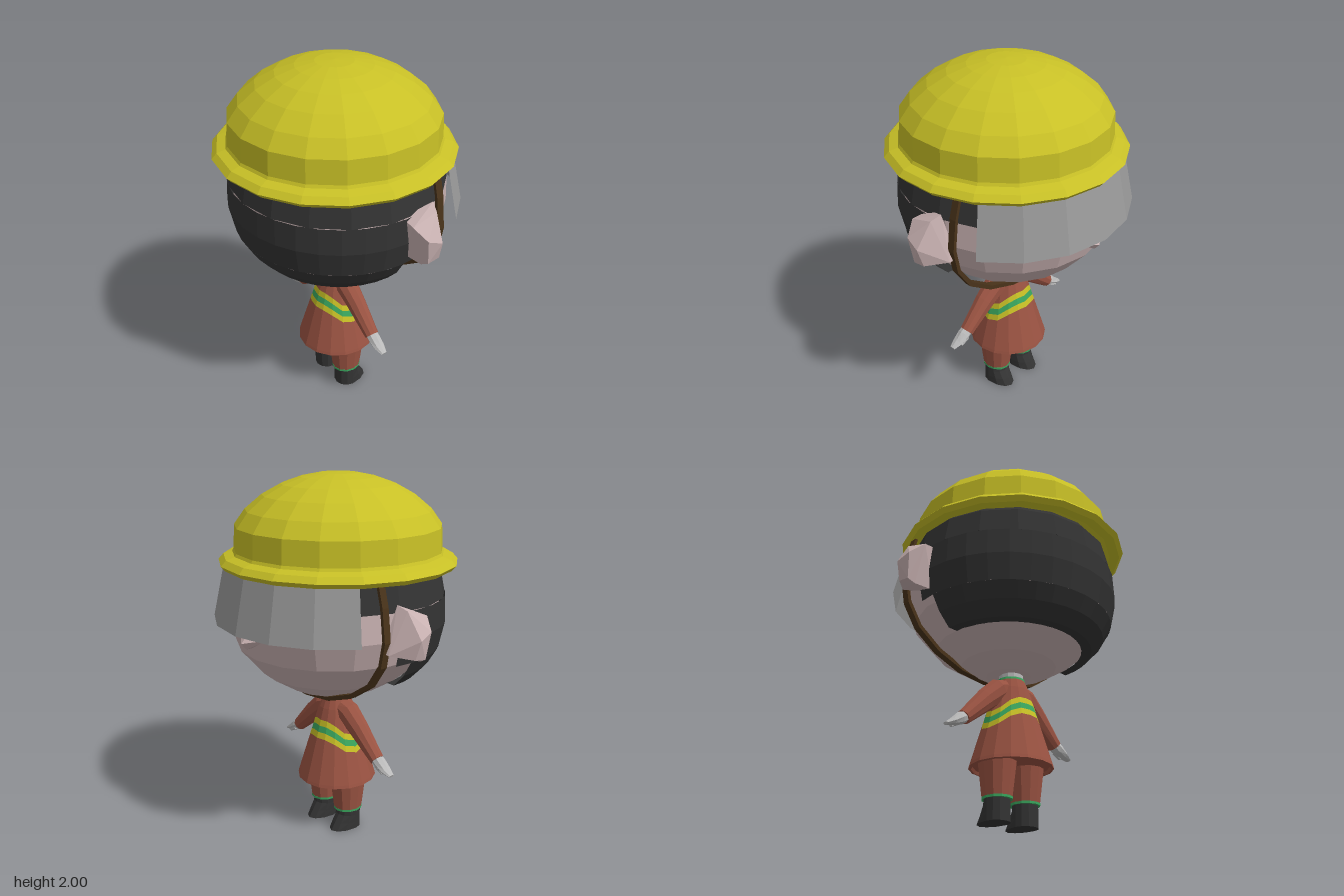
import * as THREE from 'three';
import { ConvexGeometry } from 'three/addons/geometries/ConvexGeometry.js';

const mat = (color) => new THREE.MeshStandardMaterial({ color, flatShading: true, side: THREE.DoubleSide });

// Lathe from [radius, height] pairs, listed bottom to top
function lathe(points, sides, start = 0, length = Math.PI * 2) {
  return new THREE.LatheGeometry(points.map(([r, y]) => new THREE.Vector2(r, y)), sides, start, length);
}

// Rounded limb along sections [x, y, radius across, radius in z], path lying in the xy plane
function limb(sections, sides = 10) {
  const pos = [], index = [];
  sections.forEach(([x, y, ru, rz], i) => {
    const a = sections[Math.max(i - 1, 0)], b = sections[Math.min(i + 1, sections.length - 1)];
    const len = Math.hypot(b[0] - a[0], b[1] - a[1]);
    const ux = -(b[1] - a[1]) / len, uy = (b[0] - a[0]) / len;
    for (let k = 0; k < sides; k++) {
      const t = (k / sides) * Math.PI * 2, c = Math.cos(t) * ru;
      pos.push(x + ux * c, y + uy * c, Math.sin(t) * rz);
    }
  });
  for (let i = 0; i < sections.length - 1; i++)
    for (let k = 0; k < sides; k++) {
      const a = i * sides + k, b = i * sides + (k + 1) % sides;
      index.push(a, b, a + sides, b, b + sides, a + sides);
    }
  const last = (sections.length - 1) * sides;
  for (let k = 1; k < sides - 1; k++) index.push(0, k + 1, k, last, last + k, last + k + 1);
  const g = new THREE.BufferGeometry();
  g.setAttribute('position', new THREE.Float32BufferAttribute(pos, 3));
  g.setIndex(index);
  g.computeVertexNormals();
  return g;
}

// Reflective bands sag towards the arms, following the cone of the coat
function sag(g) {
  const p = g.attributes.position;
  for (let i = 0; i < p.count; i++) {
    const x = p.getX(i), y = p.getY(i), z = p.getZ(i), r = Math.hypot(x, z);
    if (y < 0.54 || y > 0.66 || r === 0) continue;
    const drop = 0.075 * Math.max(0, Math.abs(x) / r - 0.6) / 0.4;
    const s = 1 + 0.3 * drop / r;
    p.setXYZ(i, x * s, y - drop, z * s);
  }
  g.computeVertexNormals();
  return g;
}

export function createModel() {
  const root = new THREE.Group();
  const yellow = mat(0xc8c026), red = mat(0x9a5342), green = mat(0x3aa65e), skin = mat(0xc9b2b2);
  const black = mat(0x333333), grey = mat(0x999999), brown = mat(0x49331a), white = mat(0xbababa);
  const add = (name, geometry, material, x = 0, y = 0, z = 0) => {
    const m = new THREE.Mesh(geometry, material);
    m.name = name;
    m.position.set(x, y, z);
    root.add(m);
    return m;
  };

  // Helmet: dome, rolled brim and underside
  add('helmet', lathe([[0.5, 1.56], [0.56, 1.525], [0.615, 1.52], [0.637, 1.545], [0.61, 1.575], [0.563, 1.59],
    [0.555, 1.605], [0.548, 1.73], [0.49, 1.81], [0.4, 1.885], [0.3, 1.94], [0.2, 1.975], [0.1, 1.995], [0, 2]], 18),
  yellow, 0, 0, 0.01);

  // Head, with the face towards -z
  add('head', lathe([[0, 0.797], [0.12, 0.81], [0.26, 0.862], [0.4, 0.95], [0.52, 1.09], [0.57, 1.23],
    [0.565, 1.38], [0.52, 1.52], [0.4, 1.62], [0, 1.68]], 18), skin, 0, 0, -0.02);

  // Hair: nape, sides and full crown with fringe
  const deg = Math.PI / 180;
  const hair = [
    ['hairNape', [[0.38, 0.95], [0.435, 0.95], [0.5, 1.02], [0.546, 1.1]], 90],
    ['hairSides', [[0.546, 1.1], [0.576, 1.24], [0.57, 1.38]], 100],
    ['hairCrown', [[0.54, 1.375], [0.57, 1.38], [0.542, 1.52], [0.48, 1.6]], 180],
  ];
  for (const [name, profile, half] of hair)
    add(name, lathe(profile, 18, -half * deg, 2 * half * deg), black).scale.x = 1.035;

  // Nose
  const v = (x, y, z) => new THREE.Vector3(x, y, z);
  add('nose', new ConvexGeometry([v(-0.12, 1.225, -0.55), v(0.12, 1.225, -0.55), v(0, 1.235, -0.59),
    v(0, 1.195, -0.628), v(0, 1.16, -0.6), v(0, 1.16, -0.54)]), skin);

  // Visor: flared open shell in front of the forehead
  add('visor', new THREE.CylinderGeometry(0.605, 0.667, 0.285, 6, 1, true, Math.PI - 59 * deg, 118 * deg),
    grey, 0, 1.383, 0.005);

  // Chin strap
  const half = [[0.545, 1.57], [0.585, 1.42], [0.605, 1.25], [0.58, 1.12], [0.5, 1.0], [0.36, 0.905], [0.19, 0.845]];
  const outer = [...half, [0, 0.826], ...half.map(([x, y]) => [-x, y]).reverse()];
  const inner = outer.map(([x, y]) => [x * 0.97, y + 0.022 * (1.57 - y) / 0.74]).reverse();
  const strap = new THREE.Shape([...outer, ...inner].map(([x, y]) => new THREE.Vector2(x, y)));
  add('chinStrap', new THREE.ExtrudeGeometry(strap, { depth: 0.04, bevelEnabled: false }), brown, 0, 0, -0.222);

  // Neck, collar and coat
  add('neck', new THREE.CylinderGeometry(0.066, 0.066, 0.08, 12), white, 0, 0.8, 0);
  const coat = [
    ['collarTrim', [[0.076, 0.768], [0.074, 0.78], [0.06, 0.782]], green],
    ['coatTop', [[0.117, 0.65], [0.098, 0.715], [0.076, 0.768]], red],
    ['bandUpper', [[0.126, 0.617], [0.117, 0.65]], yellow],
    ['bandMiddle', [[0.136, 0.583], [0.126, 0.617]], green],
    ['bandLower', [[0.146, 0.55], [0.136, 0.583]], yellow],
    ['coatSkirt', [[0, 0.305], [0.2, 0.305], [0.207, 0.29], [0.222, 0.293], [0.218, 0.31], [0.182, 0.43], [0.146, 0.55]], red],
  ];
  for (const [name, profile, material] of coat) add(name, sag(lathe(profile, 16)), material);

  for (const s of [1, -1]) {
    const side = s > 0 ? 'left' : 'right';

    // Ear: tilted block narrowing outwards
    add(side + 'Ear', new ConvexGeometry([
      [0.55, 1.37, 0.01], [0.6, 1.43, -0.14], [0.57, 1.2, -0.21], [0.55, 1.14, -0.02],
      [0.645, 1.36, 0.02], [0.65, 1.405, -0.12], [0.61, 1.19, -0.2], [0.66, 1.14, -0.03],
      [0.715, 1.3, -0.02], [0.728, 1.27, -0.1], [0.7, 1.17, -0.11], [0.7, 1.16, -0.04],
    ].map(([x, y, z]) => v(s * x, y, z))), skin);

    // Sleeve, glove and thumb
    add(side + 'Sleeve', limb([[s * 0.03, 0.725, 0.05, 0.06], [s * 0.1, 0.695, 0.068, 0.062],
      [s * 0.19, 0.622, 0.06, 0.053], [s * 0.335, 0.49, 0.039, 0.04]]), red);
    add(side + 'Glove', limb([[s * 0.32, 0.503, 0.032, 0.032], [s * 0.36, 0.478, 0.032, 0.036],
      [s * 0.405, 0.452, 0.02, 0.033], [s * 0.448, 0.432, 0.008, 0.018]], 8), white);
    add(side + 'Thumb', limb([[s * 0.35, 0.465, 0.013, 0.013], [s * 0.4, 0.436, 0.008, 0.01]], 6), white, 0, 0, -0.02);

    // Trouser leg with trim
    const leg = add(side + 'Trouser', new THREE.CylinderGeometry(0.103, 0.08, 0.19, 12), red, s * 0.099, 0.22, 0);
    leg.scale.set(0.94, 1, 1.05);
    const trim = add(side + 'TrouserTrim', new THREE.CylinderGeometry(0.081, 0.081, 0.012, 12), green, s * 0.099, 0.12, 0);
    trim.scale.set(0.94, 1, 1.05);

    // Boot: cylinder with its toe drawn forward
    const boot = new THREE.CylinderGeometry(0.07, 0.07, 0.125, 12, 3);
    const p = boot.attributes.position;
    for (let i = 0; i < p.count; i++) {
      const low = Math.min(1, Math.max(0, (0.03 - p.getY(i)) / 0.09));
      if (p.getZ(i) < 0) p.setZ(i, p.getZ(i) * (0.9 + 0.9 * low));
    }
    boot.computeVertexNormals();
    add(side + 'Boot', boot, black, s * 0.1, 0.0625, 0);
  }
  return root;
}
